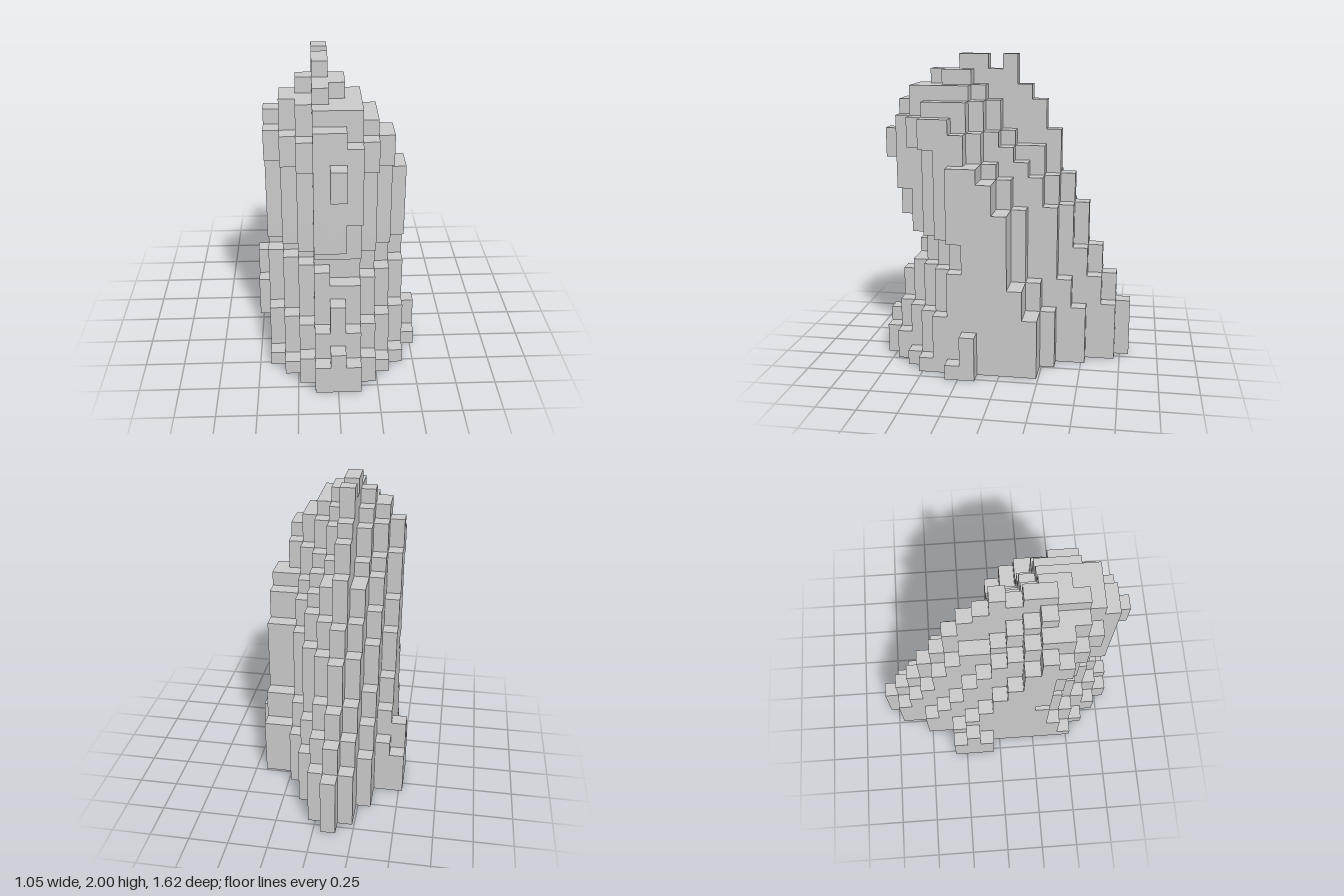
import * as THREE from 'three';
import { mergeGeometries } from 'three/addons/utils/BufferGeometryUtils.js';

const NX = 11, NY = 21, NZ = 17, S = 2 / NY;

// Per-layer limits in cells, from the ground up
const BACK =  [0, 0, 0, 0, 1, 1, 2, 2, 3, 3, 3, 4, 4, 5, 5, 5, 6, 6, 7, 8];
const FRONT = [16, 16, 16, 15, 15, 15, 14, 14, 13, 14, 15, 15, 15, 15, 15, 15, 15, 15, 14, 13];
const minX = (j) => (j < 18 ? 1 : j - 16);
const maxX = (j) => (j < 14 ? 9 : j < 17 ? 8 : 24 - j);

// How far each column is set in from the back ridge and the front face
const BACK_TAPER = [0, 1, 3, 5, 6, 6];
const RIDGE_TAPER = [0, 3, 4, 5, 6, 6];
const FRONT_TAPER = [0, 0, 1, 2, 3];

// Small blocks standing out from the main mass: [i, k, first layer, layers]
const BUMPS = [
  [10, 10, 0, 3], [10, 11, 0, 1],              // left foot
  [0, 5, 0, 3], [0, 6, 0, 5], [0, 7, 0, 3],    // right foot
  [5, 16, 14, 2],                              // front knob
  [4, 8, 20, 1], [4, 10, 20, 1], [4, 11, 20, 1], // peaks
];

function backCell(i, j) {
  const taper = (j > 14 ? RIDGE_TAPER : BACK_TAPER)[Math.abs(i - 4)];
  const bulge = i > 5 && j > 7 && j < 14 ? 1 : 0; // fuller left flank
  return BACK[j] + taper - bulge;
}

function frontCell(i, j) {
  const d = Math.abs(i - 5);
  let row = j;
  if (j < 6 && d > 0) row = j > 3 ? 6 : j + (d > 2 ? 2 : 1); // stepped foot
  if (j === 7 && i > 4) row = 8;                             // shelf at the waist
  // hollows under the brow, at the chin and around the crown
  const hollow = (d > 1 && j > 9 && j < 15) || (j === 19 && i !== 4) ||
    ((d > 1 || i === 6) && [10, 11, 17].includes(j));
  return FRONT[row] - FRONT_TAPER[d] - (hollow ? 1 : 0);
}

const inRock = (i, j, k) => j >= 0 && j < 20 && i >= minX(j) && i <= maxX(j) &&
  k >= backCell(i, j) && k <= frontCell(i, j);

const filled = (i, j, k) => inRock(i, j, k) ||
  BUMPS.some(([a, c, j0, n]) => i === a && k === c && j >= j0 && j < j0 + n);

// One square per exposed cell side
function voxelGeometry() {
  const dirs = [[1, 0, 0], [-1, 0, 0], [0, 1, 0], [0, -1, 0], [0, 0, 1], [0, 0, -1]];
  const sides = dirs.map((d) => {
    const v = new THREE.Vector3(...d);
    return new THREE.PlaneGeometry(S, S).lookAt(v).translate(...v.multiplyScalar(S / 2).toArray());
  });
  const faces = [];
  for (let i = 0; i < NX; i++)
    for (let j = 0; j < NY; j++)
      for (let k = 0; k < NZ; k++) {
        if (!filled(i, j, k)) continue;
        dirs.forEach(([dx, dy, dz], n) => {
          if (filled(i + dx, j + dy, k + dz)) return;
          faces.push(sides[n].clone().translate((i - 5) * S, (j + 0.5) * S, (k - 8) * S));
        });
      }
  return mergeGeometries(faces);
}

export function createModel() {
  const group = new THREE.Group();
  group.name = 'blockRock';
  const rock = new THREE.Mesh(
    voxelGeometry(),
    new THREE.MeshStandardMaterial({ color: 0xcccccc, flatShading: true })
  );
  rock.name = 'rock';
  group.add(rock);
  return group;
}
